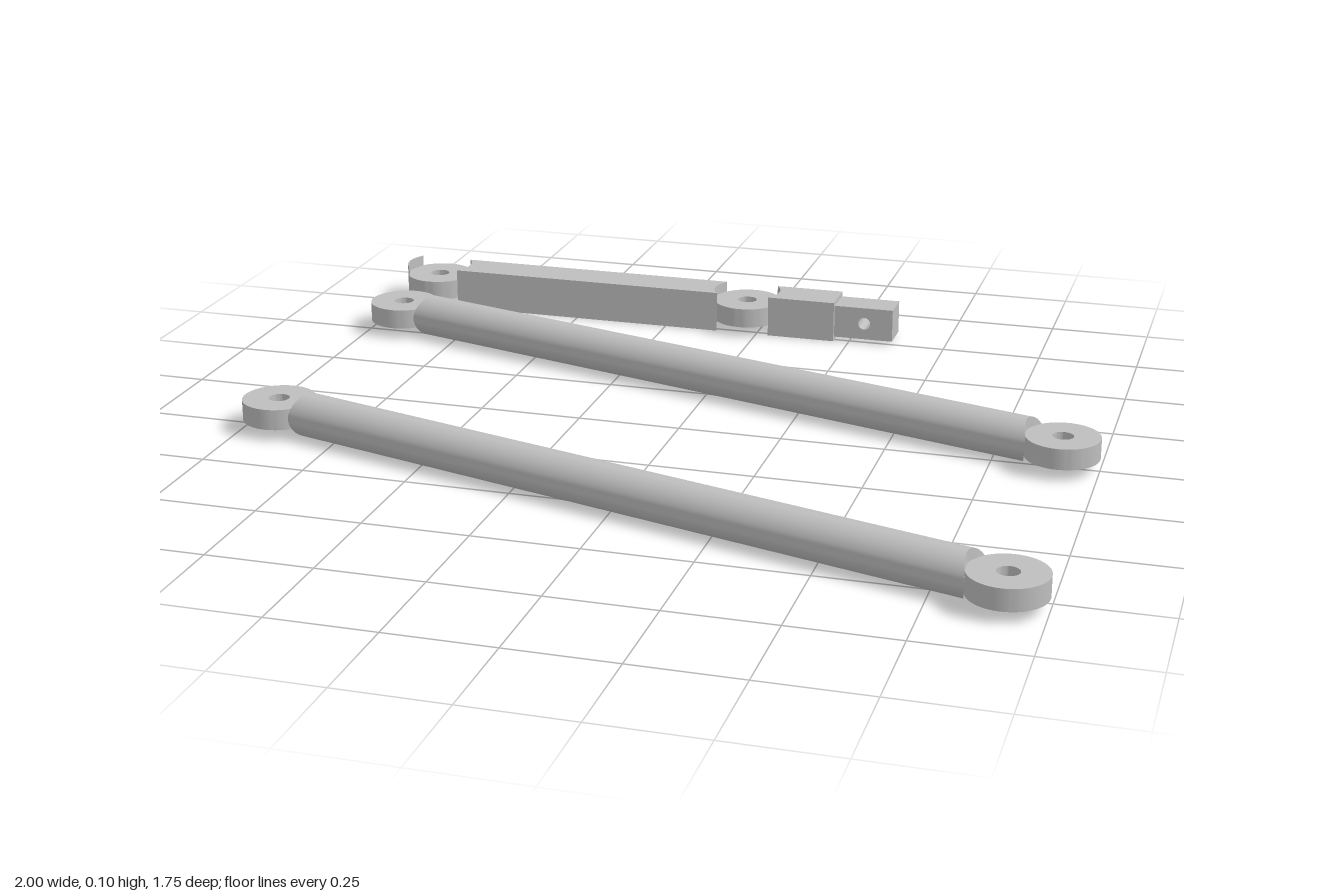
import * as THREE from 'three';
import { toCreasedNormals } from 'three/addons/utils/BufferGeometryUtils.js';

const EYE_R = 0.0875, HOLE_R = 0.025, EYE_H = 0.05; // eye ring
const HALF = 0.0525;                                // tube radius, bar half width
const CUT = Math.asin(HALF / EYE_R);                // half angle of the saddle cut

const metal = new THREE.MeshStandardMaterial({ color: 0xbebebe });
metal.name = 'grey metal';

function addMesh(parent, name, geometry) {
  const mesh = new THREE.Mesh(toCreasedNormals(geometry, 0.5), metal);
  mesh.name = name;
  parent.add(mesh);
  return mesh;
}

// Extrude a plan outline upwards, centred on y = 0
function slab(shape, height) {
  const g = new THREE.ExtrudeGeometry(shape, { depth: height, bevelEnabled: false, curveSegments: 32 });
  return g.translate(0, 0, -height / 2).rotateX(-Math.PI / 2);
}

function addEye(parent, name, x) {
  const s = new THREE.Shape().absarc(0, 0, EYE_R, 0, Math.PI * 2, false);
  s.holes.push(new THREE.Path().absarc(0, 0, HOLE_R, 0, Math.PI * 2, true));
  addMesh(parent, name, slab(s, EYE_H)).position.x = x;
}

// Round rod whose ends are hollowed to fit around the eyes
function makeRod(name, x0, z0, x1, z1) {
  const rod = new THREE.Group();
  rod.name = name;
  const half = Math.hypot(x1 - x0, z1 - z0) / 2;
  const tube = new THREE.CylinderGeometry(HALF, HALF, 1, 40).rotateZ(-Math.PI / 2);
  const p = tube.attributes.position;
  for (let i = 0; i < p.count; i++) {
    const z = p.getZ(i);
    p.setX(i, Math.sign(p.getX(i)) * (half - Math.sqrt(EYE_R * EYE_R - z * z)));
  }
  addMesh(rod, 'rodTube', tube);
  addEye(rod, 'rodEyeRight', -half);
  addEye(rod, 'rodEyeLeft', half);
  rod.position.set((x0 + x1) / 2, HALF, (z0 + z1) / 2);
  rod.rotation.y = -Math.atan2(z1 - z0, x1 - x0);
  return rod;
}

function makeBarLink() {
  const link = new THREE.Group();
  link.name = 'barLink';
  const eyeA = -0.9125, eyeB = -0.0375, blockEnd = 0.21, tongueEnd = 0.365;
  addEye(link, 'barEyeRight', eyeA);
  addEye(link, 'barEyeMiddle', eyeB);

  // Square bar between the two eyes
  const bar = new THREE.Shape();
  bar.absarc(eyeA, 0, EYE_R, CUT, -CUT, true);
  bar.absarc(eyeB, 0, EYE_R, Math.PI + CUT, Math.PI - CUT, true);
  bar.closePath();
  addMesh(link, 'squareBar', slab(bar, HALF * 2));

  // Short block beyond the middle eye
  const block = new THREE.Shape();
  block.absarc(eyeB, 0, EYE_R, CUT, -CUT, true);
  block.lineTo(blockEnd, -HALF);
  block.lineTo(blockEnd, HALF);
  block.closePath();
  addMesh(link, 'endBlock', slab(block, HALF * 2));

  // Thin corner slivers left behind the outer eye
  for (const side of [1, -1]) {
    const s = new THREE.Shape();
    s.moveTo(-1, side * HALF);
    s.absarc(eyeA, 0, EYE_R, Math.PI - side * CUT, Math.PI, side < 0);
    s.closePath();
    addMesh(link, 'cornerSliver', slab(s, HALF * 2));
  }

  // Tongue with a cross hole
  const t = 0.0425;
  const tongue = new THREE.Shape();
  tongue.moveTo(blockEnd, -t);
  tongue.lineTo(tongueEnd, -t);
  tongue.lineTo(tongueEnd, t);
  tongue.lineTo(blockEnd, t);
  tongue.closePath();
  tongue.holes.push(new THREE.Path().absarc(0.29, 0, 0.016, 0, Math.PI * 2, true));
  const g = new THREE.ExtrudeGeometry(tongue, { depth: t * 2, bevelEnabled: false, curveSegments: 16 });
  addMesh(link, 'tongue', g.translate(0, 0, -t));

  link.position.set(0, HALF, -0.7875);
  return link;
}

export function createModel() {
  const model = new THREE.Group();
  model.name = 'linkageRods';
  model.add(makeRod('frontRod', -0.9125, 0.2625, 0.9125, 0.7875));
  model.add(makeRod('middleRod', -0.9125, -0.525, 0.9125, 0));
  model.add(makeBarLink());
  return model;
}
